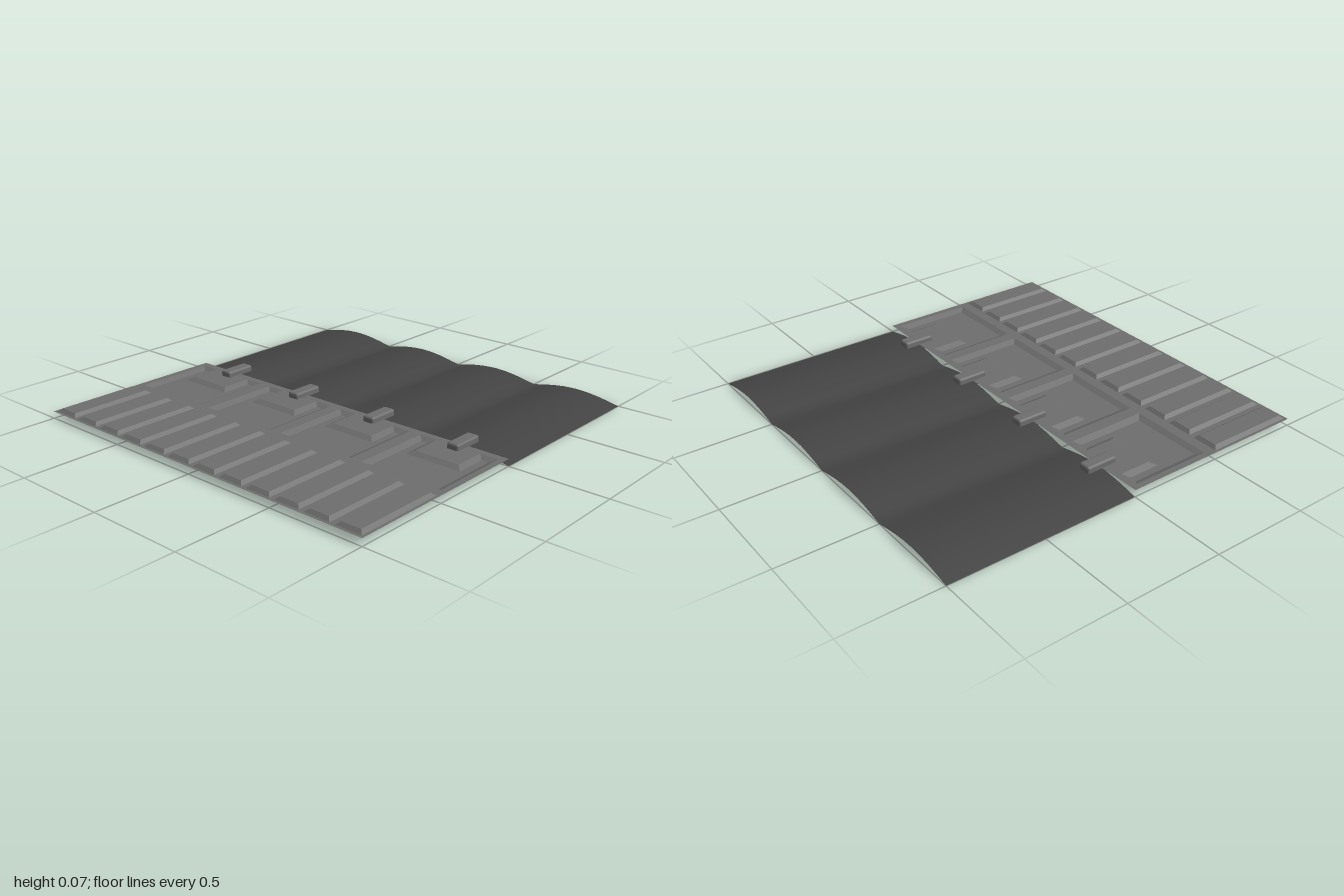
import * as THREE from 'three';
import { RoundedBoxGeometry } from 'three/addons/geometries/RoundedBoxGeometry.js';

const PLATE_Y = 0.036, RELIEF = 0.015, UNIT = 0.5;

const plateGrey = new THREE.MeshStandardMaterial({ color: 0x6e6e6e, side: THREE.DoubleSide });
plateGrey.name = 'plate grey';
const clothGrey = new THREE.MeshStandardMaterial({ color: 0x444444, side: THREE.DoubleSide });
clothGrey.name = 'cloth dark grey';

// Outlines are lists of [x, z], running +x along their rear edge first
const rect = (w, z0, z1) => [[-w, z0], [w, z0], [w, z1], [-w, z1]];
const moved = (loop, x) => loop.map(([a, z]) => [a + x, z]);
const toPoints = (loop) => loop.map(([x, z]) => new THREE.Vector2(x, -z));

function flatFace(loop, y, holes = []) {
  const shape = new THREE.Shape(toPoints(loop));
  holes.forEach((h) => shape.holes.push(new THREE.Path(toPoints(h))));
  return new THREE.ShapeGeometry(shape).rotateX(-Math.PI / 2).translate(0, y, 0);
}

// Sloping band joining an outer outline to an inner one
function slopes(outer, inner, y0, y1) {
  const pos = [];
  outer.forEach((a, i) => {
    const j = (i + 1) % outer.length;
    const [b, c, d] = [outer[j], inner[i], inner[j]];
    const A = [a[0], y0, a[1]], B = [b[0], y0, b[1]];
    const C = [c[0], y1, c[1]], D = [d[0], y1, d[1]];
    pos.push(...A, ...C, ...B, ...B, ...C, ...D);
  });
  const g = new THREE.BufferGeometry();
  g.setAttribute('position', new THREE.Float32BufferAttribute(pos, 3));
  g.computeVertexNormals();
  return g;
}

export function createModel() {
  const group = new THREE.Group();
  const add = (geo, mat, name) => {
    const mesh = new THREE.Mesh(geo, mat);
    mesh.name = name;
    group.add(mesh);
    return mesh;
  };

  // U-shaped recess and raised slat outlines
  const recessRim = [[-0.218, 0.035], [-0.12, 0.035], [-0.12, 0.2], [0.12, 0.2],
    [0.12, 0.035], [0.218, 0.035], [0.218, 0.46], [-0.218, 0.46]];
  const recessFloor = [[-0.186, 0.065], [-0.15, 0.065], [-0.15, 0.23], [0.15, 0.23],
    [0.15, 0.065], [0.186, 0.065], [0.186, 0.43], [-0.186, 0.43]];
  const slatRim = rect(0.069, 0.513, 0.985);
  const slatTop = rect(0.051, 0.531, 0.967);

  const holes = [];
  const relief = (rim, face, x, dy, name) => {
    const outer = moved(rim, x), inner = moved(face, x);
    holes.push(outer);
    add(slopes(outer, inner, PLATE_Y, PLATE_Y + dy), plateGrey, name + 'Slopes');
    add(flatFace(inner, PLATE_Y + dy), plateGrey, name + 'Face');
  };

  for (let u = 0; u < 4; u++) {
    const x = -0.75 + u * UNIT;
    relief(recessRim, recessFloor, x, -RELIEF, 'recess');
    for (let s = -1; s <= 1; s++) relief(slatRim, slatTop, x + s / 6, RELIEF, 'slat');

    // Clip joining the plate to the sheet
    add(new RoundedBoxGeometry(0.066, 0.066, 0.168, 2, 0.012), plateGrey, 'clip')
      .position.set(x, 0.033, 0);
  }

  // Flat front plate around the reliefs
  add(flatFace(rect(1, 0, 1), PLATE_Y, holes), plateGrey, 'frontPlate');

  // Rear sheet, arched once per unit
  const sheet = new THREE.PlaneGeometry(2, 1, 32, 1).rotateX(-Math.PI / 2).translate(0, 0, -0.5);
  const p = sheet.attributes.position;
  for (let i = 0; i < p.count; i++) {
    p.setY(i, 0.035 * Math.abs(Math.sin((Math.PI * p.getX(i)) / UNIT)));
  }
  sheet.computeVertexNormals();
  add(sheet, clothGrey, 'rearSheet');

  return group;
}
